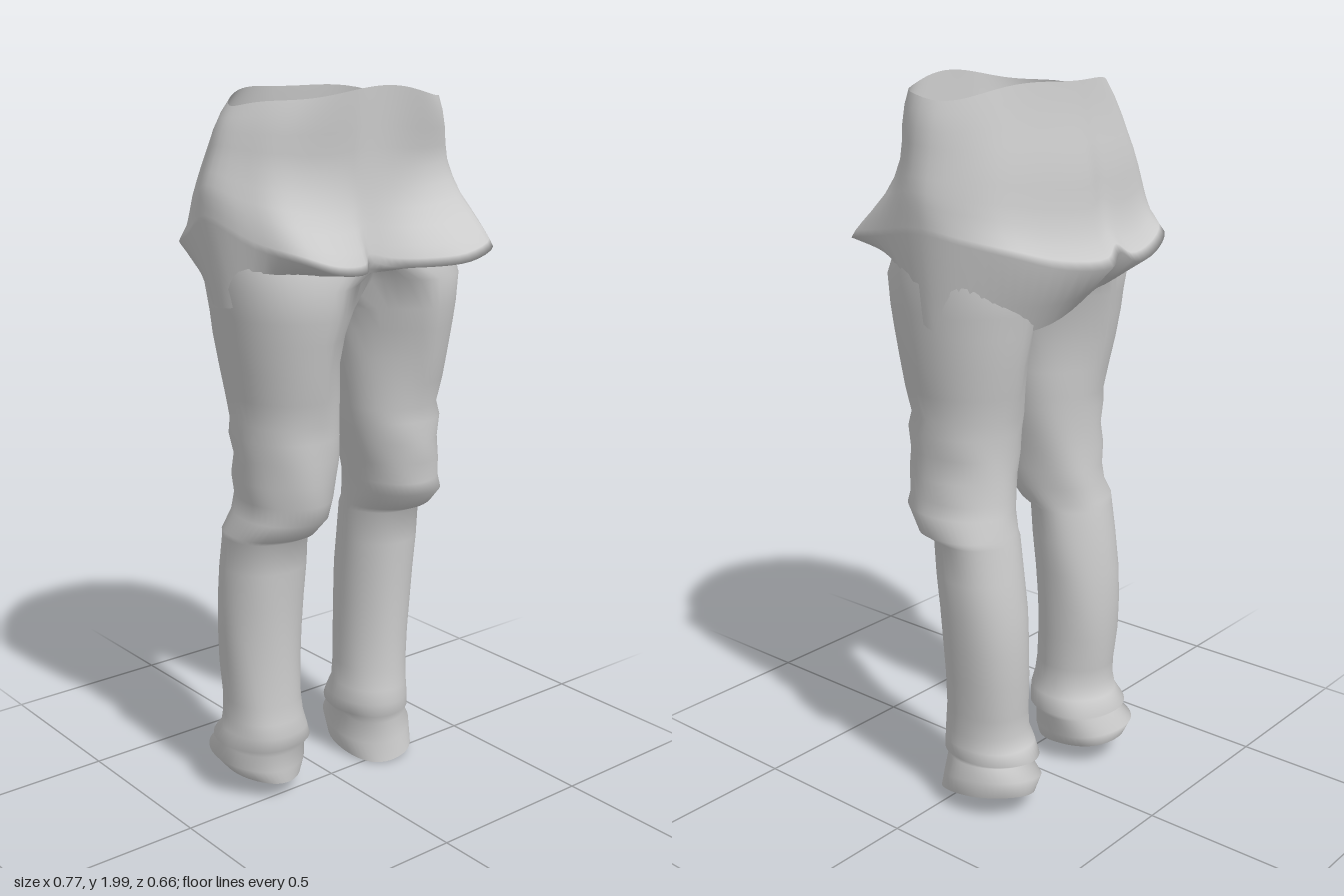
import * as THREE from 'three';

const material = new THREE.MeshStandardMaterial({ color: 0xcccccc, side: THREE.DoubleSide });
const { lerp, smoothstep } = THREE.MathUtils;

// Skin a stack of closed rings, listed from top to bottom
function loft(name, rings) {
  const n = rings[0].length, index = [];
  for (let r = 0; r < rings.length - 1; r++) {
    for (let i = 0; i < n; i++) {
      const a = r * n + i, b = r * n + (i + 1) % n;
      index.push(a, b, a + n, b, b + n, a + n);
    }
  }
  const geo = new THREE.BufferGeometry().setFromPoints(rings.flat());
  geo.setIndex(index);
  geo.computeVertexNormals();
  const mesh = new THREE.Mesh(geo, material);
  mesh.name = name;
  return mesh;
}

// Flared hem of the seat, counted from +x towards +z
const HEM = [
  [0.385, 1.63, -0.02], [0.345, 1.6, 0.18], [0.314, 1.58, 0.295], [0.2, 1.553, 0.328],
  [0.09, 1.545, 0.29], [0.0, 1.55, 0.25], [-0.065, 1.565, 0.238], [-0.105, 1.545, 0.275],
  [-0.2, 1.55, 0.287], [-0.28, 1.58, 0.24], [-0.34, 1.61, 0.12], [-0.387, 1.67, -0.03],
  [-0.36, 1.62, -0.15], [-0.3, 1.58, -0.28], [-0.2, 1.54, -0.32], [-0.1, 1.53, -0.33],
  [-0.05, 1.56, -0.315], [0.0, 1.53, -0.33], [0.15, 1.54, -0.295], [0.28, 1.58, -0.235],
  [0.355, 1.61, -0.13],
].map(p => new THREE.Vector3(...p));

// How far x, front z and back z have moved from rim to hem at each height step
const FLARE = [
  [0, 0, 0, 0], [0.1, 0.26, -0.04, 0.05], [0.22, 0.46, -0.1, 0.13], [0.34, 0.58, -0.16, 0.23],
  [0.45, 0.7, -0.18, 0.32], [0.57, 0.84, -0.08, 0.38], [0.68, 0.96, 0.1, 0.42],
  [0.78, 1, 0.39, 0.5], [0.88, 1, 0.7, 0.65], [0.95, 1, 0.9, 0.86], [1, 1, 1, 1],
];

function buildSeat() {
  const hem = new THREE.CatmullRomCurve3(HEM, true, 'centripetal').getPoints(84).slice(0, 84);
  const angle = p => Math.atan2(p.z / 0.33, p.x / 0.385);
  const rim = hem.map(p => {
    const a = angle(p), s = Math.sin(a);
    return new THREE.Vector3(0.015 + 0.312 * Math.cos(a),
      1.952 + 0.042 * s * s + 0.006 * Math.sin(5 * a), 0.207 * s);
  });
  const rings = FLARE.map(([t, fx, front, back]) => hem.map((p, i) => {
    const w = smoothstep(p.z, -0.12, 0.12), q = rim[i];
    return new THREE.Vector3(lerp(q.x, p.x, fx), lerp(q.y, p.y, t), lerp(q.z, p.z, lerp(back, front, w)));
  }));
  // Underside tucks in flat at the front and slopes down into the legs, longest at the back left
  const under = hem.map(p => {
    const a = angle(p), s = Math.sin(a);
    const long = smoothstep(Math.cos(a + 0.7), 0.4, 1);
    return new THREE.Vector3(0.36 * Math.cos(a),
      1.45 + 0.085 * smoothstep(s, 0.1, 0.8) - 0.08 * long, 0.222 * s);
  });
  const tuck = hem.map((p, i) => p.clone().lerp(under[i], 0.6));
  rings.push(tuck, under);
  return loft('seat', rings);
}

// Leg rows: height, inner x, outer x, back z, front z
const LEFT_LEG = [
  [1.56, -0.2, 0.368, -0.225, 0.23], [1.5, -0.07, 0.37, -0.227, 0.238], [1.42, -0.035, 0.362, -0.21, 0.228],
  [1.36, -0.01, 0.356, -0.2, 0.215], [1.28, 0.016, 0.347, -0.185, 0.197], [1.2, 0.033, 0.337, -0.168, 0.18],
  [1.13, 0.045, 0.325, -0.155, 0.162], [1.09, 0.05, 0.336, -0.15, 0.165], [1.03, 0.062, 0.322, -0.148, 0.165],
  [0.97, 0.075, 0.332, -0.15, 0.16], [0.91, 0.088, 0.335, -0.155, 0.152], [0.875, 0.095, 0.347, -0.16, 0.155],
  [0.82, 0.105, 0.36, -0.17, 0.1], [0.8, 0.11, 0.34, -0.175, 0.055], [0.7, 0.112, 0.34, -0.19, 0.05],
  [0.6, 0.114, 0.335, -0.205, 0.042], [0.5, 0.116, 0.328, -0.21, 0.038], [0.4, 0.115, 0.32, -0.208, 0.036],
  [0.3, 0.11, 0.312, -0.2, 0.04], [0.24, 0.1, 0.31, -0.195, 0.048], [0.2, 0.088, 0.312, -0.21, 0.055],
  [0.165, 0.092, 0.318, -0.235, 0.05], [0.145, 0.108, 0.308, -0.21, 0.04], [0.1, 0.1, 0.333, -0.25, 0.045],
  [0.045, 0.108, 0.325, -0.235, 0.057],
];
const RIGHT_LEG = [
  [1.56, -0.2, 0.362, -0.225, 0.23], [1.5, -0.07, 0.362, -0.227, 0.235], [1.42, -0.035, 0.35, -0.21, 0.225],
  [1.36, -0.01, 0.342, -0.2, 0.21], [1.28, 0.013, 0.328, -0.185, 0.195], [1.2, 0.018, 0.315, -0.168, 0.178],
  [1.13, 0.022, 0.305, -0.155, 0.162], [1.09, 0.026, 0.312, -0.15, 0.165], [1.03, 0.03, 0.298, -0.15, 0.16],
  [0.97, 0.038, 0.302, -0.152, 0.16], [0.91, 0.045, 0.288, -0.157, 0.15], [0.86, 0.05, 0.292, -0.162, 0.14],
  [0.81, 0.062, 0.318, -0.17, 0.095], [0.79, 0.068, 0.305, -0.175, 0.055], [0.7, 0.066, 0.31, -0.19, 0.045],
  [0.6, 0.07, 0.31, -0.203, 0.035], [0.5, 0.075, 0.308, -0.208, 0.03], [0.4, 0.08, 0.305, -0.206, 0.03],
  [0.3, 0.085, 0.3, -0.195, 0.035], [0.25, 0.08, 0.305, -0.19, 0.042], [0.21, 0.07, 0.308, -0.205, 0.05],
  [0.17, 0.05, 0.322, -0.235, 0.045], [0.15, 0.066, 0.305, -0.215, 0.03], [0.11, 0.06, 0.322, -0.262, 0.03],
  [0.07, 0.082, 0.292, -0.245, 0.03],
];

// side is +1 for left and -1 for right; the tilts slope the cuff opening
function buildLeg(name, side, rows, tiltX, tiltZ) {
  const n = 48;
  const rings = rows.map(([y, inner, outer, back, front]) => {
    const cx = side * (inner + outer) / 2, cz = (front + back) / 2;
    const cuff = 1 - smoothstep(y, 0.08, 0.2);
    // Cloth creases grow around the knee and the cuff
    const crease = 0.01 * (1 - smoothstep(y, 1.0, 1.3))
      + 0.015 * smoothstep(y, 0.75, 0.8) * (1 - smoothstep(y, 0.95, 1.15))
      + 0.012 * (1 - smoothstep(y, 0.15, 0.3));
    // The thigh narrows towards its inner side
    const pinch = 0.4 * smoothstep(y, 1.05, 1.35) * (1 - smoothstep(y, 1.5, 1.56));
    return Array.from({ length: n }, (_, i) => {
      const a = i / n * Math.PI * 2, s = Math.sin(a), inward = Math.max(0, -side * Math.cos(a));
      const k = 1 + crease * Math.sin(3 * a + 37 * y * side) * Math.cos(2 * a + 23 * y);
      const dx = (outer - inner) / 2 * Math.cos(a) * k;
      const dz = (front - back) / 2 * Math.sign(s) * Math.abs(s) ** 0.93 * k * (1 - pinch * inward);
      const x = cx + dx, z = cz + dz;
      const py = y + cuff * (tiltX * dx + tiltZ * dz);
      // Inner thigh is cut at the centre line along a saddle-shaped crotch seam
      if (x * side < 0) return new THREE.Vector3(0, Math.min(py, 1.38 + 5 * z * z), z);
      return new THREE.Vector3(x, py, z);
    });
  });
  return loft(name, rings);
}

export function createModel() {
  const model = new THREE.Group();
  model.name = 'trousers';
  model.add(
    buildSeat(),
    buildLeg('leftLeg', 1, LEFT_LEG, 0.2, -0.19),
    buildLeg('rightLeg', -1, RIGHT_LEG, -0.08, -0.1),
  );
  return model;
}
